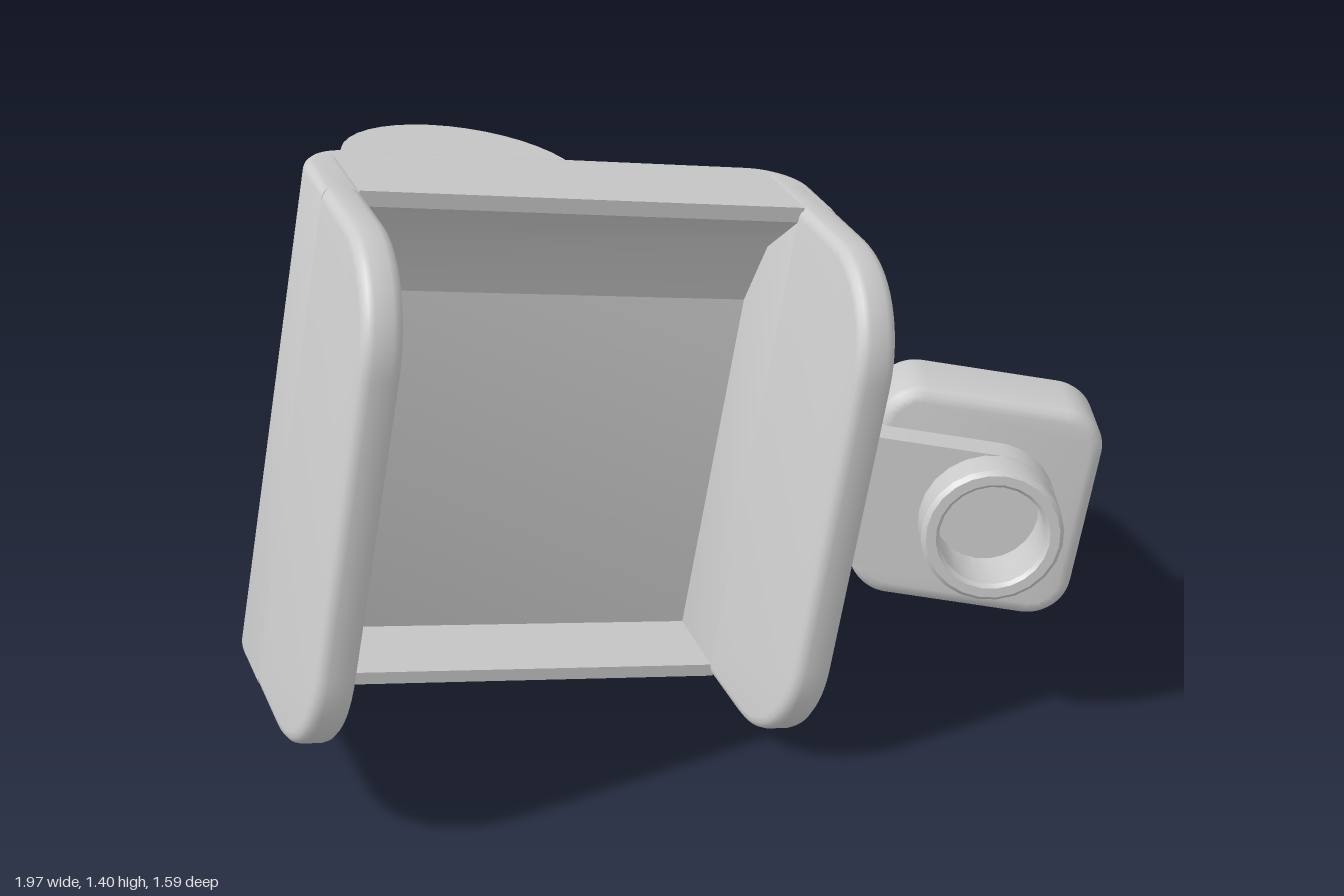
import * as THREE from 'three';
import { toCreasedNormals } from 'three/addons/utils/BufferGeometryUtils.js';

const grey = new THREE.MeshStandardMaterial({ color: 0xcccccc });

function mesh(name, geometry, parent) {
  const m = new THREE.Mesh(toCreasedNormals(geometry, 0.6), grey);
  m.name = name;
  parent.add(m);
  return m;
}

// Extrusion centred on z = 0, with edges rounded inside the given outline
function slab(shape, depth, bevel = 0, curveSegments = 8) {
  const g = new THREE.ExtrudeGeometry(shape, {
    depth: depth - 2 * bevel, curveSegments, bevelEnabled: bevel > 0,
    bevelSize: bevel, bevelThickness: bevel, bevelOffset: -bevel, bevelSegments: 3,
  });
  return g.translate(0, 0, -depth / 2 + bevel);
}

const polygon = (pts) => new THREE.Shape(pts.map(([x, y]) => new THREE.Vector2(x, y)));

// Rectangle with its own radius for the left and right corners
function roundedRect(x0, x1, y0, y1, rl, rr) {
  const s = new THREE.Shape();
  s.moveTo(x0 + rl, y0);
  s.lineTo(x1 - rr, y0);
  s.absarc(x1 - rr, y0 + rr, rr, -Math.PI / 2, 0);
  s.lineTo(x1, y1 - rr);
  s.absarc(x1 - rr, y1 - rr, rr, 0, Math.PI / 2);
  s.lineTo(x0 + rl, y1);
  s.absarc(x0 + rl, y1 - rl, rl, Math.PI / 2, Math.PI);
  s.lineTo(x0, y0 + rl);
  s.absarc(x0 + rl, y0 + rl, rl, Math.PI, Math.PI * 1.5);
  return s;
}

export function createModel() {
  const model = new THREE.Group();
  model.name = 'tiltedBracket';

  // Whole bracket is rolled and slightly pitched
  const body = new THREE.Group();
  body.name = 'bracket';
  const up = new THREE.Vector3(0.185, 0.98, -0.05).normalize();
  const right = new THREE.Vector3().crossVectors(up, new THREE.Vector3(0.035, 0.045, 1)).normalize();
  const front = new THREE.Vector3().crossVectors(right, up);
  body.quaternion.setFromRotationMatrix(new THREE.Matrix4().makeBasis(right, up, front));
  body.position.set(-0.305, 0.7, 0.06);
  model.add(body);

  const W = 0.595, H = 0.595, T = 0.09, R = 0.12, RIM = 0.27, BACK = 0.07;

  // Back shell: channel section with rounded outer corners
  const u = new THREE.Shape();
  u.moveTo(-W, -RIM);
  u.lineTo(-W + T, -RIM);
  u.lineTo(-W + T, -BACK);
  u.lineTo(W - T, -BACK);
  u.lineTo(W - T, -RIM);
  u.lineTo(W, -RIM);
  u.lineTo(W, -R);
  u.absarc(W - R, -R, R, 0, Math.PI / 2);
  u.lineTo(-W + R, 0);
  u.absarc(-W + R, -R, R, Math.PI / 2, Math.PI);
  mesh('backShell', slab(u, 2 * H, 0.02).rotateX(-Math.PI / 2), body);

  // Sloping hood above the recess and ledge below it
  const rails = {
    topHood: [[0.04, H], [RIM, H], [RIM, 0.56], [0.14, 0.45], [BACK, 0.29], [0.04, 0.29]],
    bottomLedge: [[0.04, -H], [RIM, -H], [RIM, -0.565], [0.04, -0.555]],
  };
  for (const [name, pts] of Object.entries(rails))
    mesh(name, slab(polygon(pts), 2 * (W - T) + 0.02).rotateY(-Math.PI / 2), body);

  // Side arms with large rounded front corners
  for (const [name, side] of [['leftArm', 1], ['rightArm', -1]]) {
    const arm = slab(roundedRect(0.12, 0.7, -H, H, 0.01, 0.25), T, 0.025).rotateY(-Math.PI / 2);
    mesh(name, arm, body).position.x = side * (W - T / 2);
  }

  // Rear stem with a half-round end
  const stem = new THREE.Shape();
  stem.moveTo(-0.3, -0.02);
  stem.lineTo(0.3, -0.02);
  stem.lineTo(0.3, 0.54);
  stem.absarc(0, 0.54, 0.3, 0, Math.PI);
  mesh('rearStem', slab(stem, 0.745, 0, 10).rotateX(-Math.PI / 2), body).position.x = -0.01;

  // Side fitting, turned towards the front
  const fitting = new THREE.Group();
  fitting.name = 'sideFitting';
  fitting.position.set(0.99, -0.01, 0.44);
  fitting.rotation.y = -0.34;
  body.add(fitting);

  mesh('fittingBlock', slab(roundedRect(-0.26, 0.26, -0.26, 0.26, 0.1, 0.1), 0.21, 0.03), fitting);

  // Connector from the arm, round at the ring
  const cx = 0.02, r = 0.16, hole = 0.12;
  const link = new THREE.Shape();
  link.moveTo(-0.45, -r);
  link.lineTo(cx, -r);
  link.absarc(cx, 0, r, -Math.PI / 2, Math.PI / 2);
  link.lineTo(-0.45, r);
  const bore = new THREE.Path();
  bore.absarc(cx, 0, hole, 0, Math.PI * 2, true);
  link.holes.push(bore);
  mesh('connector', slab(link, 0.26, 0, 12), fitting).position.z = 0.05;

  // Hollow ring with a recessed floor
  const profile = [[0, 0.13], [hole, 0.13], [hole, 0.262], [0.128, 0.27], [0.15, 0.27], [r, 0.26], [r, 0.17]]
    .map(([x, y]) => new THREE.Vector2(x, y)).reverse();
  const ring = new THREE.LatheGeometry(profile, 24).rotateX(Math.PI / 2);
  mesh('ring', ring, fitting).position.x = cx;
  fitting.getObjectByName('ring').material = new THREE.MeshStandardMaterial({ color: 0xcccccc, side: THREE.DoubleSide });

  return model;
}
